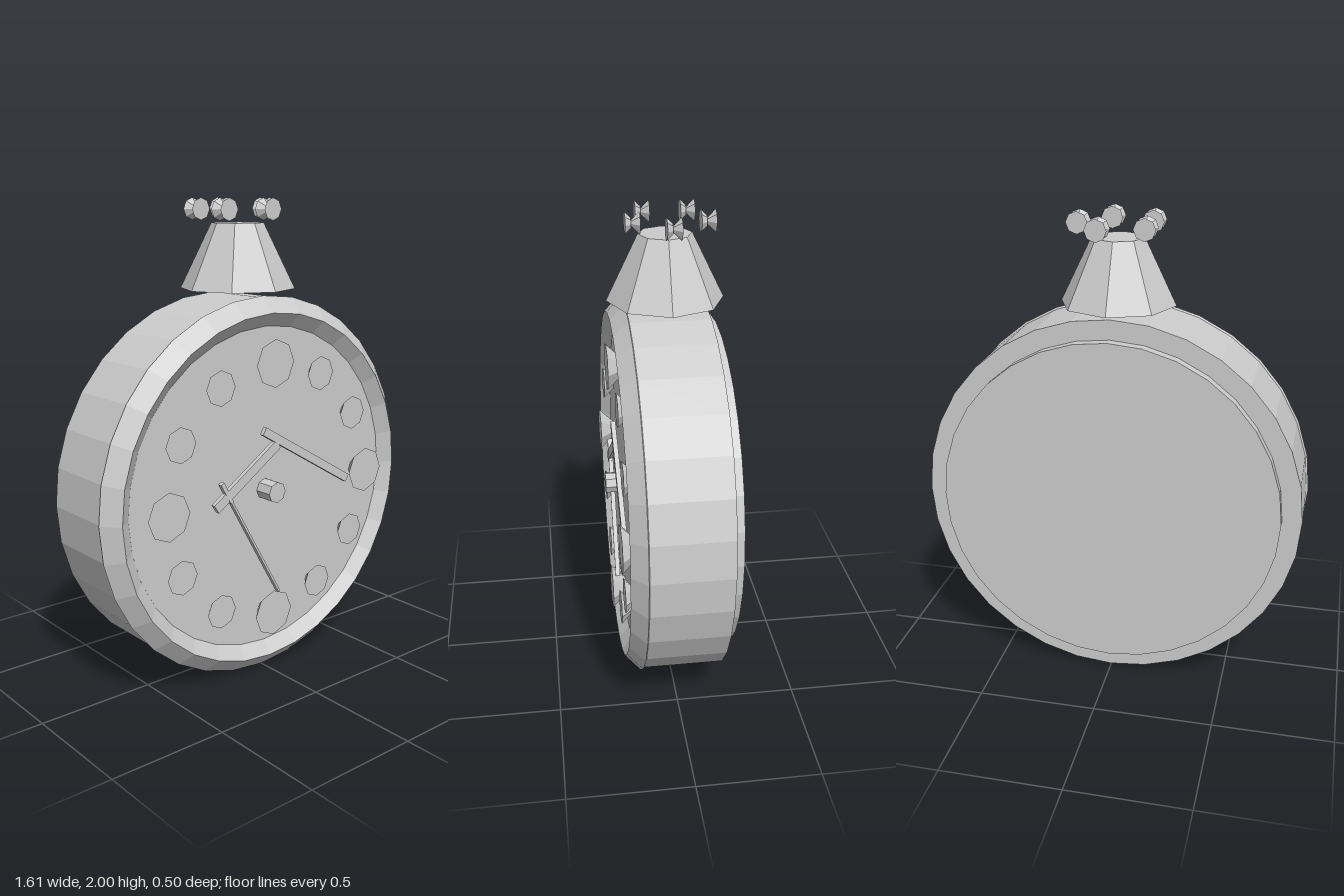
import * as THREE from 'three';

const CY = 0.808; // height of the dial centre
const DIAL_Z = 0.17; // front face of the dial

export function createModel() {
  const model = new THREE.Group();
  const grey = new THREE.MeshStandardMaterial({ color: 0xcccccc, flatShading: true });
  grey.name = 'plain grey';

  function add(name, geometry, x, y, z, parent = model) {
    const mesh = new THREE.Mesh(geometry, grey);
    mesh.name = name;
    mesh.position.set(x, y, z);
    parent.add(mesh);
    return mesh;
  }

  // Cylinder or cone lying along z, from z0 (back) to z1 (front), centred on its own origin
  function disc(rFront, rBack, z0, z1, sides) {
    return new THREE.CylinderGeometry(rFront, rBack, z1 - z0, sides)
      .rotateX(Math.PI / 2)
      .translate(0, 0, (z0 + z1) / 2);
  }

  // Case, rear cover and recessed dial
  add('caseBody', disc(0.799, 0.799, -0.175, 0.153, 32), 0, CY, 0);
  add('backCover', disc(0.717, 0.717, -0.22, -0.17, 32), 0, CY, 0);
  add('dial', disc(0.686, 0.686, 0.15, DIAL_Z, 32), 0, CY, 0);

  // Ridged bezel sloping out to the case and in to the dial
  const bezelProfile = [[0.79, 0.145], [0.807, 0.153], [0.742, 0.215], [0.684, DIAL_Z - 0.002]]
    .map(([r, z]) => new THREE.Vector2(r, z));
  add('bezel', new THREE.LatheGeometry(bezelProfile, 32).rotateX(Math.PI / 2), 0, CY, 0);

  // Hour markers: larger at the quarters, flaring away from the dial
  const markers = new THREE.Group();
  markers.name = 'hourMarkers';
  model.add(markers);
  for (let i = 0; i < 12; i++) {
    const a = i * Math.PI / 6;
    const r = i % 3 === 0 ? 0.1 : 0.073;
    add('hourMarker', disc(r, r * 0.35, DIAL_Z - 0.002, DIAL_Z + r * 0.63, 8),
      Math.sin(a) * 0.54, CY + Math.cos(a) * 0.54, 0, markers);
  }

  // Centre hub
  add('hub', disc(0.045, 0.045, 0.16, 0.25, 8), 0, CY, 0);

  // Hands: flat bars between two points on the dial
  function hand(name, x0, y0, x1, y1, width, z) {
    const bar = new THREE.BoxGeometry(Math.hypot(x1 - x0, y1 - y0), width, 0.02);
    add(name, bar, (x0 + x1) / 2, (y0 + y1) / 2, z).rotation.z = Math.atan2(y1 - y0, x1 - x0);
  }
  hand('minuteHand', -0.043, 1.07, 0.445, 0.783, 0.036, 0.208);
  hand('hourHand', -0.295, 0.785, 0.035, 1.005, 0.042, 0.207);
  hand('secondHand', -0.215, 0.8, 0.045, 0.35, 0.01, 0.208);
  hand('secondHandTail', -0.265, 0.887, -0.215, 0.8, 0.018, 0.208);

  // Tapered eight-sided neck above the case
  add('neck', new THREE.CylinderGeometry(0.108, 0.238, 0.266, 8), 0, 1.767, -0.01);

  // Ring of five hourglass knobs floating around the neck top
  const knobs = new THREE.Group();
  knobs.name = 'knobs';
  model.add(knobs);
  for (let i = 0; i < 5; i++) {
    const a = i * Math.PI * 2 / 5;
    const knob = new THREE.Group();
    knob.name = 'knob';
    knob.position.set(Math.cos(a) * 0.16, 1.955, -0.022 + Math.sin(a) * 0.155);
    knobs.add(knob);
    add('knobBack', disc(0.005, 0.045, -0.03, 0.01, 8), 0, 0, 0, knob);
    add('knobFront', disc(0.045, 0.022, 0.004, 0.028, 8), 0, 0, 0, knob);
  }

  return model;
}
